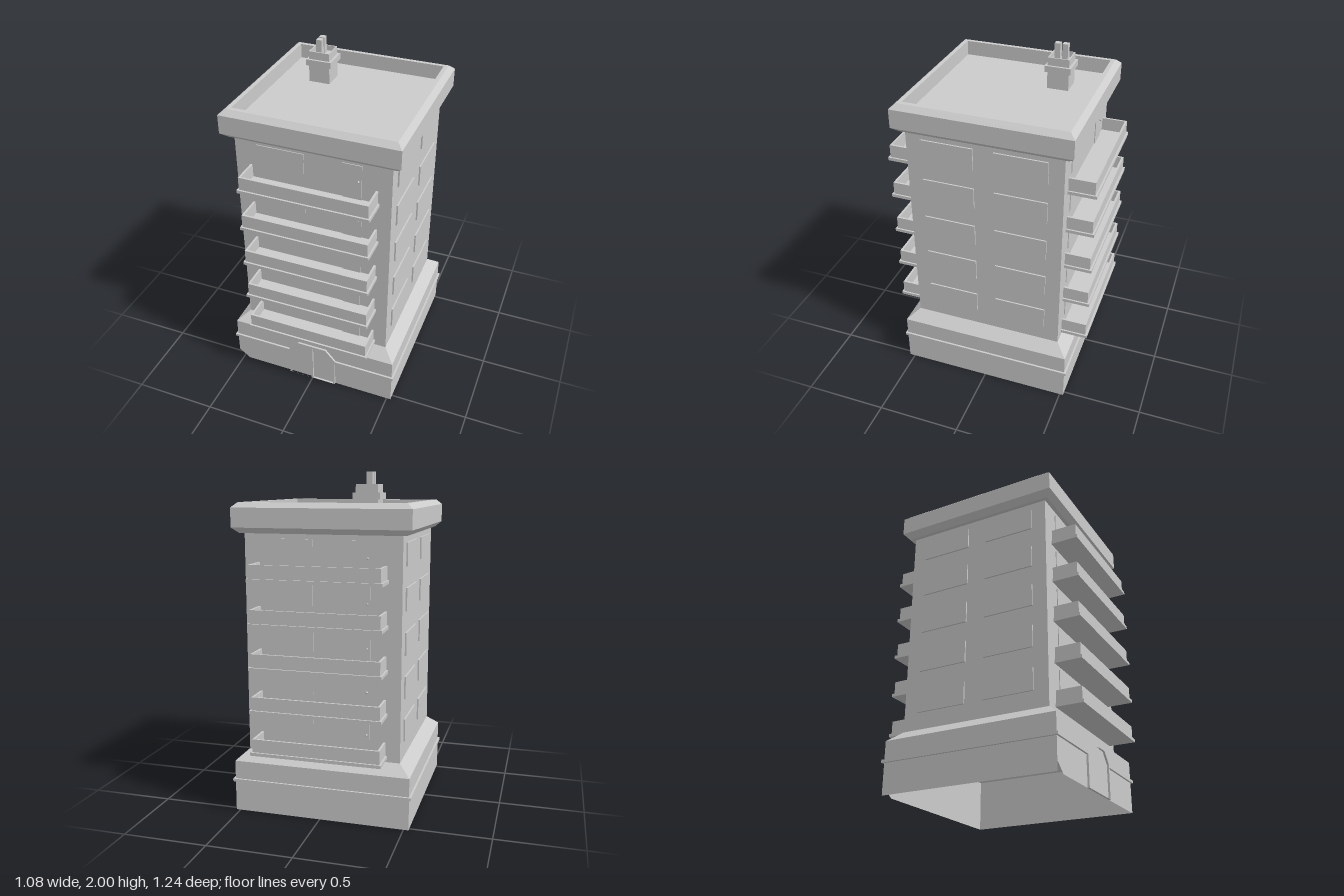
import * as THREE from 'three';

const grey = new THREE.MeshStandardMaterial({ color: 0xcccccc, flatShading: true });
const greyInside = new THREE.MeshStandardMaterial({ color: 0xcccccc, flatShading: true, side: THREE.BackSide });
const greyDouble = new THREE.MeshStandardMaterial({ color: 0xcccccc, flatShading: true, side: THREE.DoubleSide });

function add(parent, name, geometry, material = grey) {
  const mesh = new THREE.Mesh(geometry, material);
  mesh.name = name;
  parent.add(mesh);
  return mesh;
}

// Box given by its lower and upper limits
function box(parent, name, [x0, y0, z0], [x1, y1, z1]) {
  const mesh = add(parent, name, new THREE.BoxGeometry(x1 - x0, y1 - y0, z1 - z0));
  mesh.position.set((x0 + x1) / 2, (y0 + y1) / 2, (z0 + z1) / 2);
  return mesh;
}

// Square shell from a profile of [half width, height], listed upwards along the outside
function squareLathe(parent, name, profile) {
  const points = profile.map(([h, y]) => new THREE.Vector2(h * Math.SQRT2, y));
  const geometry = new THREE.LatheGeometry(points, 4, Math.PI / 4).toNonIndexed();
  geometry.computeVertexNormals();
  return add(parent, name, geometry, greyDouble);
}

function polygon(points) {
  return new THREE.Shape(points.map(([x, y]) => new THREE.Vector2(x, y)));
}

const BASE = 0.528, BODY = 0.459, FLOORS = 5, STEP = 0.2525;

// Base wall of half width h, with its lower corners clipped where asked
function wallShape(h, clipLeft, clipRight) {
  return polygon([
    ...(clipLeft ? [[-h, 0.055], [-h + 0.07, 0]] : [[-h, 0]]),
    ...(clipRight ? [[h - 0.07, 0], [h, 0.055]] : [[h, 0]]),
    [h, 0.31], [-h, 0.31],
  ]);
}

function buildBase(parent) {
  const base = new THREE.Group();
  base.name = 'base';
  parent.add(base);
  // Four walls with an inner lining, open below; the front right corner is clipped
  const inner = BASE - 0.006;
  for (let i = 0; i < 4; i++) {
    const wall = new THREE.ShapeGeometry(wallShape(BASE, i === 0, false)).translate(0, 0, BASE);
    const lining = new THREE.ShapeGeometry(wallShape(inner, i === 0, i > 1)).translate(0, 0, inner);
    add(base, 'baseWall', wall).rotation.y = i * Math.PI / 2;
    add(base, 'baseLining', lining, greyInside).rotation.y = i * Math.PI / 2;
  }
  squareLathe(base, 'baseSlope', [[BASE, 0.31], [BODY, 0.37]]);

  // Belt moulding, interrupted by the entrance
  const out = BASE + 0.012, y0 = 0.183, y1 = 0.2;
  for (const s of [-1, 1]) {
    const side = [s * (BASE - 0.002), s * out].sort((a, b) => a - b);
    box(base, 'beltSide', [side[0], y0, -out], [side[1], y1, out]);
    const front = [s * 0.15, s * BASE].sort((a, b) => a - b);
    box(base, 'beltFront', [front[0], y0, BASE - 0.002], [front[1], y1, out]);
  }
  box(base, 'beltBack', [-BASE, y0, -out], [BASE, y1, -BASE + 0.002]);

  // Entrance frame with clipped top corners and a centre post
  const frame = polygon([[-0.155, 0], [-0.155, 0.205], [-0.093, 0.277], [0.093, 0.277], [0.155, 0.205], [0.155, 0]]);
  for (const s of [-1, 1]) {
    const hole = [[0.006, 0.001], [0.143, 0.001], [0.143, 0.201], [0.088, 0.263], [0.006, 0.263]];
    frame.holes.push(new THREE.Path(hole.map(([x, y]) => new THREE.Vector2(s * x, y))));
  }
  const geometry = new THREE.ExtrudeGeometry(frame, { depth: 0.014, bevelEnabled: false });
  add(base, 'entranceFrame', geometry).position.z = BASE - 0.002;
}

// Balcony, door and window of one floor on the +z face
function buildBalconyFloor(parent, y) {
  const floor = new THREE.Group();
  floor.name = 'balconyFloor';
  floor.position.y = y;
  parent.add(floor);
  const wall = BODY - 0.003, edge = 0.61;
  box(floor, 'balconySlab', [-0.387, 0, wall], [0.387, 0.019, 0.621]);
  box(floor, 'balconyParapet', [-0.377, 0.019, edge - 0.013], [0.377, 0.097, edge]);
  for (const s of [-1, 1]) {
    const x = s * 0.3705;
    box(floor, 'balconySide', [x - 0.0065, 0.019, wall], [x + 0.0065, 0.097, edge - 0.013]);
  }
  box(floor, 'balconyDoor', [0.175, 0.019, wall], [0.285, 0.232, BODY + 0.005]);
  box(floor, 'balconyWindow', [-0.33, 0.1, wall], [-0.05, 0.232, BODY + 0.005]);
  const knob = add(floor, 'doorKnob', new THREE.SphereGeometry(0.007, 8, 6));
  knob.position.set(0.268, 0.134, BODY + 0.01);
}

function buildChimney(parent) {
  const chimney = new THREE.Group();
  chimney.name = 'chimney';
  chimney.position.set(-0.213, 0, -0.227);
  parent.add(chimney);
  // Stem, collar and hollow crown in one profile
  squareLathe(chimney, 'chimneyStack', [
    [0.064, 1.735], [0.064, 1.848], [0.078, 1.848], [0.078, 1.885], [0.064, 1.885],
    [0.064, 1.932], [0.057, 1.932], [0.057, 1.9], [0, 1.9],
  ]);
  for (const z of [-0.021, 0.025]) {
    box(chimney, 'chimneyPipe', [-0.026, 1.89, z - 0.017], [0.008, 2, z + 0.017]);
  }
}

export function createModel() {
  const model = new THREE.Group();
  model.name = 'apartmentBuilding';
  const building = new THREE.Group();
  building.name = 'building';
  building.position.set(-0.002, 0, 0.006);
  model.add(building);

  buildBase(building);
  squareLathe(building, 'body', [[BODY, 0.37], [BODY, 1.665]]);

  // Bevelled cornice with the sunken roof inside it
  squareLathe(building, 'corniceAndRoof', [
    [BODY - 0.01, 1.66], [0.482, 1.66], [0.518, 1.692], [0.518, 1.803], [0.486, 1.832],
    [0.461, 1.832], [0.461, 1.743], [0, 1.743],
  ]);

  // Balconies on front and back, the back turned half round
  for (let side = 0; side < 2; side++) {
    const face = new THREE.Group();
    face.name = side ? 'backBalconies' : 'frontBalconies';
    face.position.x = 0.004;
    face.rotation.y = side * Math.PI;
    building.add(face);
    for (let i = 0; i < FLOORS; i++) buildBalconyFloor(face, 0.389 + i * STEP);
  }

  // Two raised windows per floor on each side wall
  for (const s of [-1, 1]) {
    for (let i = 0; i < FLOORS; i++) {
      for (const z of [-0.215, 0.215]) {
        const y = 0.472 + i * STEP * 1.005;
        const x = s * (BODY + 0.003);
        box(building, 'sideWindow', [x - 0.006, y, z - 0.155], [x + 0.006, y + 0.132, z + 0.155]);
      }
    }
  }

  buildChimney(building);
  return model;
}
